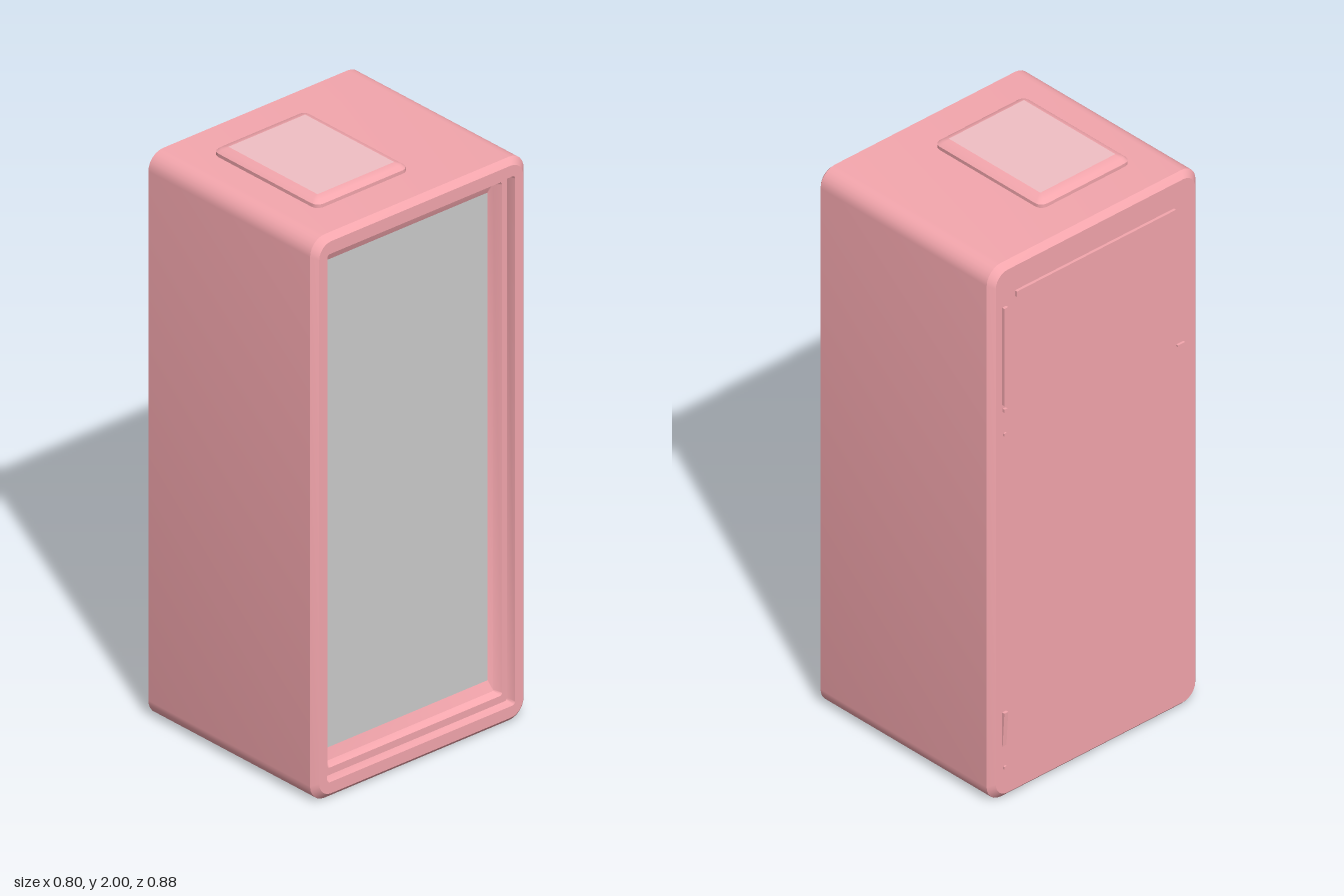
import * as THREE from 'three';
import { toCreasedNormals } from 'three/addons/utils/BufferGeometryUtils.js';

// Outline of a rounded rectangle, counter-clockwise, at height w
function ring([w, x0, x1, y0, y1, r], steps) {
  const pts = [];
  const corners = [[x1 - r, y1 - r], [x0 + r, y1 - r], [x0 + r, y0 + r], [x1 - r, y0 + r]];
  corners.forEach(([cx, cy], q) => {
    for (let i = 0; i <= steps; i++) {
      const t = (q + i / steps) * Math.PI / 2;
      pts.push(new THREE.Vector3(cx + r * Math.cos(t), cy + r * Math.sin(t), w));
    }
  });
  return pts;
}

// Skin a stack of outlines; caps close the first and last one
function loft(sections, steps, capStart, capEnd, crease = 0.5) {
  const rings = sections.map((s) => ring(s, steps));
  const n = rings[0].length;
  const out = [];
  const tri = (...p) => p.forEach((v) => out.push(v.x, v.y, v.z));
  for (let k = 0; k + 1 < rings.length; k++) {
    for (let i = 0; i < n; i++) {
      const j = (i + 1) % n;
      const a = rings[k][i], b = rings[k][j], c = rings[k + 1][j], d = rings[k + 1][i];
      tri(a, b, c);
      tri(a, c, d);
    }
  }
  const cap = (pts, flip) => {
    const mid = pts.reduce((s, p) => s.add(p), new THREE.Vector3()).divideScalar(n);
    for (let i = 0; i < n; i++) {
      const j = (i + 1) % n;
      if (flip) tri(mid, pts[j], pts[i]);
      else tri(mid, pts[i], pts[j]);
    }
  };
  if (capStart) cap(rings[0], true);
  if (capEnd) cap(rings[rings.length - 1], false);
  const g = new THREE.BufferGeometry();
  g.setAttribute('position', new THREE.Float32BufferAttribute(out, 3));
  return toCreasedNormals(g, crease);
}

export function createModel() {
  const model = new THREE.Group();
  model.name = 'cabinet';
  const pink = new THREE.MeshStandardMaterial({ color: 0xf4a6ad });
  const pale = new THREE.MeshStandardMaterial({ color: 0xf0bfc4 });
  const grey = new THREE.MeshStandardMaterial({ color: 0xcccccc });
  const add = (name, geometry, material) => {
    const mesh = new THREE.Mesh(geometry, material);
    mesh.name = name;
    model.add(mesh);
    return mesh;
  };

  // Casing with bevelled ends and a stepped recess: depth, half width, bottom, top, corner radius
  const shell = [
    [-0.39, 0.42, 0.02, 1.95, 0.05],
    [-0.37, 0.44, 0.0, 1.97, 0.06],
    [0.38, 0.44, 0.0, 1.97, 0.06],
    [0.40, 0.42, 0.02, 1.95, 0.05],
    [0.40, 0.387, 0.06, 1.91, 0.012],
    [0.37, 0.38, 0.065, 1.905, 0.01],
    [0.37, 0.36, 0.09, 1.885, 0.01],
    [0.345, 0.345, 0.10, 1.875, 0.005],
    [0.33, 0.335, 0.135, 1.84, 0.002],
  ].map(([w, h, y0, y1, r]) => [w, -h, h, y0, y1, r]);
  add('casing', loft(shell, 6, true, false).rotateY(Math.PI / 2), pink);

  // Flat pane at the bottom of the recess
  const pane = add('pane', new THREE.PlaneGeometry(0.67, 1.705).rotateY(Math.PI / 2), grey);
  pane.position.set(0.33, 0.9875, 0);

  // Raised pad on top, with its paler inset face
  const pad = [
    [1.96, -0.238, 0.246, -0.292, 0.088, 0.025],
    [1.982, -0.238, 0.246, -0.292, 0.088, 0.025],
    [1.993, -0.225, 0.233, -0.28, 0.075, 0.018],
    [1.999, -0.2, 0.213, -0.261, 0.055, 0.004],
  ];
  add('topPad', loft(pad, 3, false, true, 0.7).rotateX(-Math.PI / 2), pink);
  const face = add('topPadFace', new THREE.PlaneGeometry(0.413, 0.316).rotateX(-Math.PI / 2), pale);
  face.position.set(0.0065, 2.0, 0.103);

  // Thin trims on the opposite end: name, z, y, width, height, thickness
  const trims = [
    ['upperTrim', -0.005, 1.85, 0.67, 0.02, 0.01],
    ['sideTrim', -0.385, 1.64, 0.016, 0.36, 0.01],
    ['sideTrimDot', -0.385, 1.44, 0.012, 0.012, 0.008],
    ['sideDot', -0.385, 1.35, 0.01, 0.01, 0.006],
    ['farDot', 0.355, 1.35, 0.03, 0.006, 0.008],
    ['lowerDot', -0.385, 0.12, 0.01, 0.01, 0.006],
  ];
  for (const [name, z, y, w, h, t] of trims) {
    add(name, new THREE.BoxGeometry(t + 0.01, h, w), pink).position.set(-0.385 - t / 2, y, z);
  }

  // Tapered tab low on the same end
  const tab = new THREE.Shape([[-0.38, 0.2], [-0.392, 0.2], [-0.4, 0.325], [-0.38, 0.325]]
    .map(([x, y]) => new THREE.Vector2(x, y)).reverse());
  add('lowerTab', new THREE.ExtrudeGeometry(tab, { depth: 0.016, bevelEnabled: false }), pink)
    .position.z = -0.393;

  return model;
}
